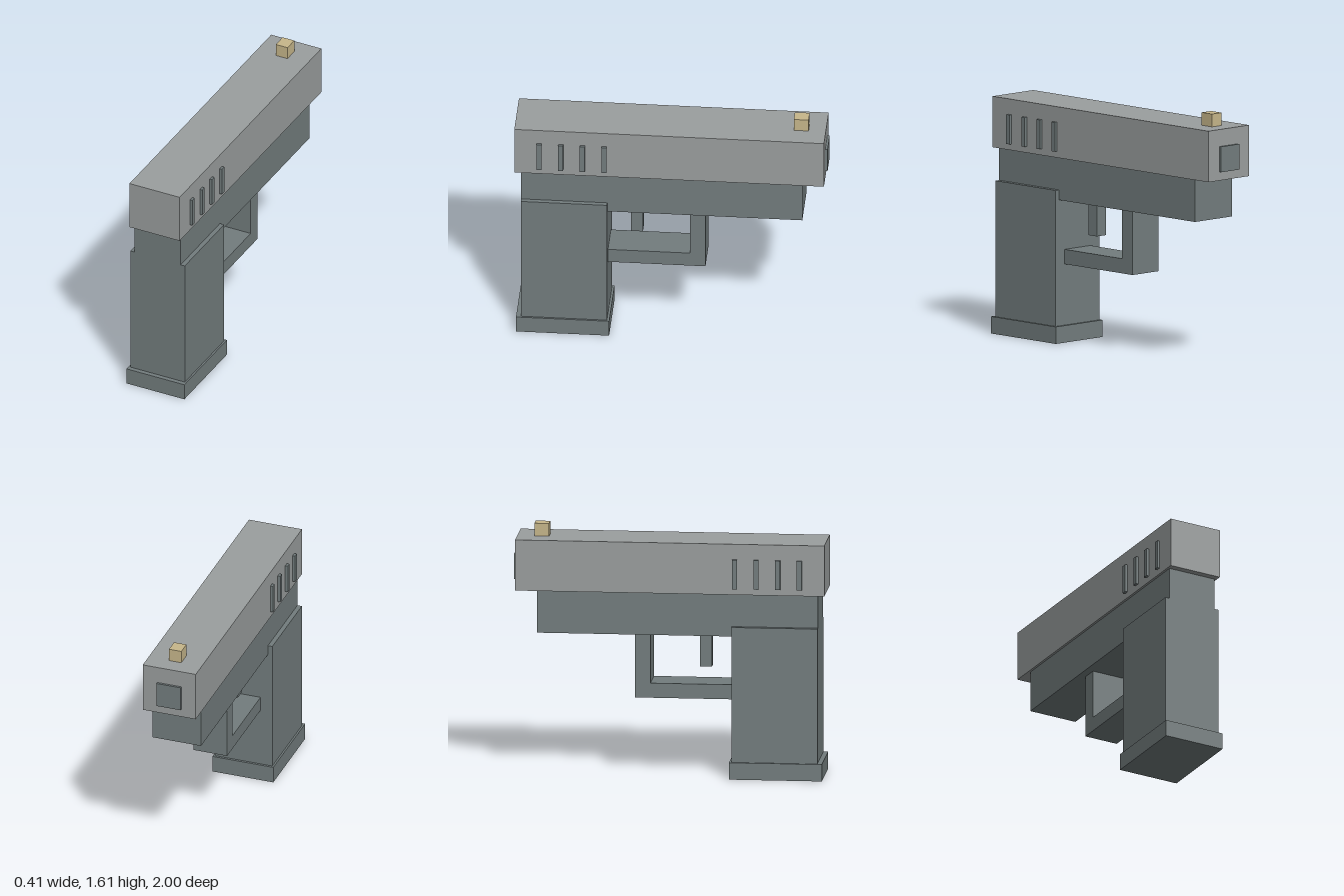
import * as THREE from 'three';

export function createModel() {
  const model = new THREE.Group();
  model.name = 'blockyPistol';

  const material = (name, color) => {
    const m = new THREE.MeshStandardMaterial({ color });
    m.name = name;
    return m;
  };
  const lightGrey = material('lightGrey', 0x9b9f9f);
  const darkGrey = material('darkGrey', 0x737d7e);
  const sand = material('sand', 0xc7b78b);

  // Box given by its [min, max] range on each axis
  const box = (name, mat, [x0, x1], [y0, y1], [z0, z1]) => {
    const mesh = new THREE.Mesh(new THREE.BoxGeometry(x1 - x0, y1 - y0, z1 - z0), mat);
    mesh.position.set((x0 + x1) / 2, (y0 + y1) / 2, (z0 + z1) / 2);
    mesh.name = name;
    model.add(mesh);
  };
  const wide = (w) => [-w / 2, w / 2];

  // Upper body
  box('slide', lightGrey, wide(0.36), [1.2, 1.53], [-0.985, 1]);
  box('muzzlePlate', darkGrey, wide(0.165), [1.255, 1.42], [-1, -0.985]);
  box('frontSight', sand, wide(0.084), [1.53, 1.613], [-0.875, -0.78]);
  box('frame', darkGrey, wide(0.33), [0.925, 1.2], [-0.845, 0.957]);

  // Grip and its base
  box('grip', darkGrey, wide(0.39), [0.11, 0.99], [0.405, 0.957]);
  box('gripBase', darkGrey, wide(0.414), [0, 0.11], [0.39, 0.987]);

  // Trigger and guard
  box('trigger', darkGrey, wide(0.08), [0.7, 0.925], [0.187, 0.265]);
  box('guardPost', darkGrey, wide(0.23), [0.6, 0.925], [-0.22, -0.122]);
  box('guardBar', darkGrey, wide(0.23), [0.505, 0.6], [-0.22, 0.405]);

  // Raised ribs on both sides of the slide
  for (let i = 0; i < 4; i++) {
    const z = 0.425 + i * 0.1385;
    box('leftRib', darkGrey, [0.18, 0.198], [1.24, 1.43], [z - 0.016, z + 0.016]);
    box('rightRib', darkGrey, [-0.198, -0.18], [1.24, 1.43], [z - 0.016, z + 0.016]);
  }
  return model;
}
